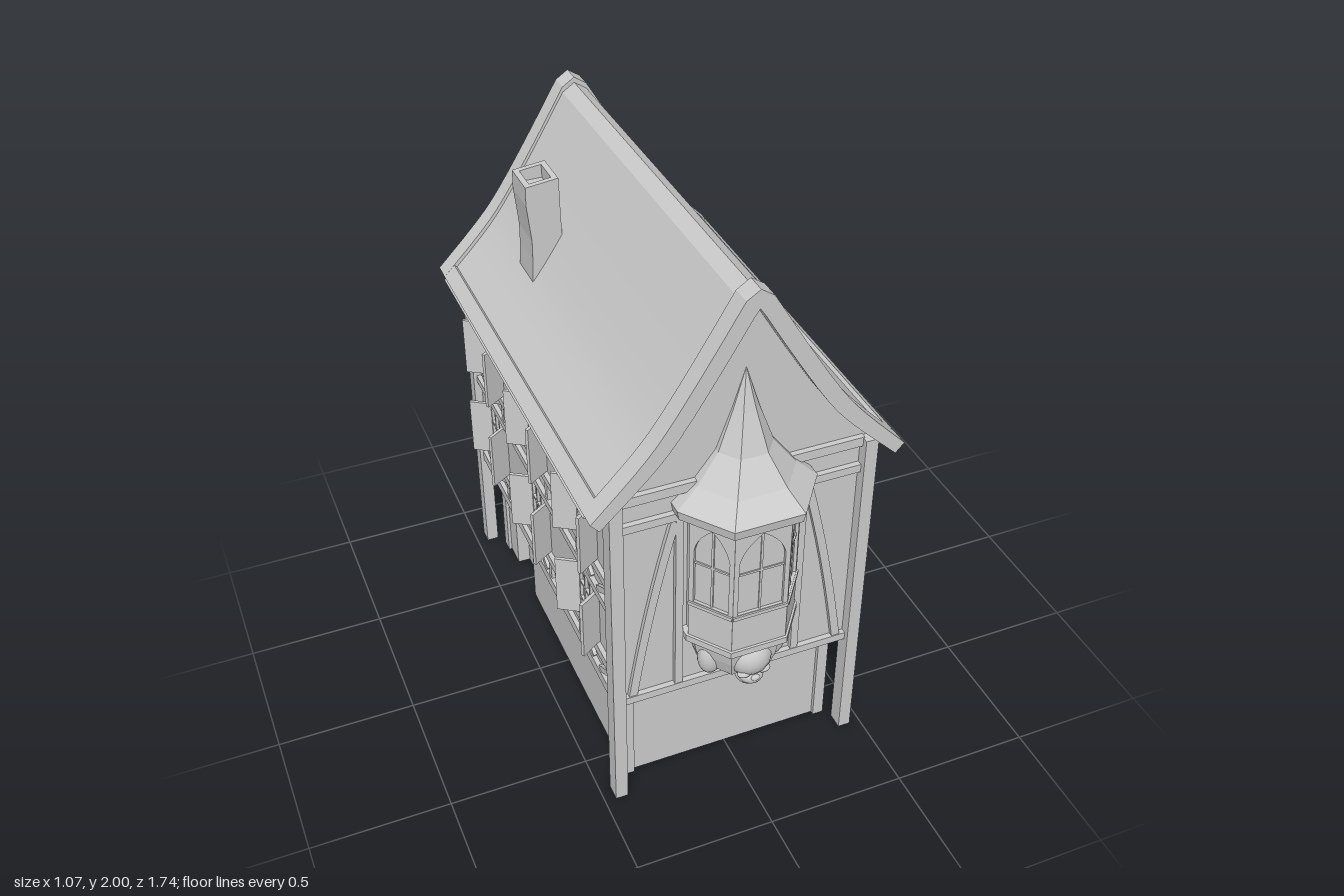
import * as THREE from 'three';
import { toCreasedNormals } from 'three/addons/utils/BufferGeometryUtils.js';

const grey = new THREE.MeshStandardMaterial({ color: 0xcccccc, side: THREE.DoubleSide });
const flat = new THREE.MeshStandardMaterial({ color: 0xcccccc, side: THREE.DoubleSide, flatShading: true });

function add(parent, name, geo, x = 0, y = 0, z = 0, mat = grey) {
  const m = new THREE.Mesh(geo, mat);
  m.name = name;
  m.position.set(x, y, z);
  parent.add(m);
  return m;
}
// box given by its limits on each axis
function block(parent, name, x0, x1, y0, y1, z0, z1) {
  const geo = new THREE.BoxGeometry(Math.abs(x1 - x0), y1 - y0, Math.abs(z1 - z0));
  return add(parent, name, geo, (x0 + x1) / 2, (y0 + y1) / 2, (z0 + z1) / 2);
}
const shapeOf = pts => new THREE.Shape(pts.map(p => new THREE.Vector2(p[0], p[1])));
const rect = (x0, x1, y0, y1) => shapeOf([[x0, y0], [x1, y0], [x1, y1], [x0, y1]]);
const extrude = (shape, depth, steps = 1) =>
  new THREE.ExtrudeGeometry(shape, { depth, steps, bevelEnabled: false, curveSegments: 8 });
function group(parent, name) {
  const g = new THREE.Group();
  g.name = name;
  parent.add(g);
  return g;
}

// half profiles of the slightly sagging roof, ridge to eave
const curve = pts => new THREE.SplineCurve(pts.map(p => new THREE.Vector2(...p))).getPoints(12).map(p => [p.x, p.y]);
const OUTER = [[0, 2], ...curve([[0.045, 1.97], [0.17, 1.762], [0.29, 1.575], [0.38, 1.462], [0.533, 1.303]])];
const INNER = [[0, 1.935], ...curve([[0.02, 1.905], [0.125, 1.73], [0.245, 1.543], [0.34, 1.428], [0.503, 1.27]])];
const bothSides = half => [...half.slice(1).reverse().map(([x, y]) => [-x, y]), ...half];
function roofStrip(drop, z0, z1) {
  const pts = [...bothSides(OUTER).map(([x, y]) => [x, y - drop]), ...bothSides(INNER).reverse()];
  return toCreasedNormals(extrude(shapeOf(pts), z1 - z0).translate(0, 0, z0), 0.4);
}

function buildRoof(house) {
  const roof = group(house, 'roof');
  add(roof, 'roofPanel', roofStrip(0.02, -0.81, 0.67));
  add(roof, 'frontVerge', roofStrip(0, 0.665, 0.735));
  add(roof, 'backVerge', roofStrip(0, -0.87, -0.8));
  for (const s of [-1, 1])
    add(roof, 'eaveRim', new THREE.BoxGeometry(0.058, 0.045, 1.5), s * 0.497, 1.307, -0.068).rotation.z = -s * 0.797;

  // crooked hollow chimney
  const flue = rect(-0.057, 0.057, -0.07, 0.07);
  flue.holes.push(rect(-0.038, 0.038, -0.05, 0.05));
  const geo = extrude(flue, 0.42, 6).rotateX(-Math.PI / 2);
  const p = geo.attributes.position;
  for (let i = 0; i < p.count; i++) {
    const t = p.getY(i) / 0.42;
    p.setX(i, p.getX(i) * (1 + 0.05 * Math.sin(t * 9)) + 0.006 * Math.sin(t * 5));
    p.setY(i, p.getY(i) + p.getX(i) * 0.12 * t);
  }
  geo.computeVertexNormals();
  const chimney = group(roof, 'chimney');
  add(chimney, 'chimneyStack', geo, -0.28, 1.445, -0.41, flat);
  block(chimney, 'flueFloor', -0.325, -0.24, 1.81, 1.82, -0.465, -0.355);
}

function buildWalls(house) {
  const walls = group(house, 'walls');
  // gables follow the underside of the roof
  const top = bothSides(INNER).filter(([x]) => Math.abs(x) < 0.42).reverse();
  const gable = shapeOf([[-0.43, 0.43], [0.43, 0.43], [0.43, 1.34], ...top, [-0.43, 1.34]]);
  add(walls, 'frontGable', extrude(gable, 0.02), 0, 0, 0.64);
  add(walls, 'backGable', extrude(gable, 0.02), 0, 0, -0.825);
  // overhang between the storeys
  const soffit = rect(-0.43, 0.43, -0.66, 0.825);
  soffit.holes.push(rect(-0.37, 0.37, -0.58, 0.72));
  add(walls, 'soffit', extrude(soffit, 0.01).rotateX(-Math.PI / 2), 0, 0.43, 0);
  block(walls, 'groundFront', -0.38, 0.38, 0, 0.435, 0.585, 0.595);
  block(walls, 'groundBack', -0.38, 0.38, 0, 0.435, -0.745, -0.735);
  for (const s of [-1, 1]) {
    block(walls, 'upperSide', s * 0.41, s * 0.43, 0.43, 1.34, -0.82, 0.65);
    // ground floor side with a recessed door
    const side = shapeOf([[-0.595, 0], [0.4, 0], [0.4, 0.3], [0.61, 0.3], [0.61, 0], [0.74, 0], [0.74, 0.435], [-0.595, 0.435]]);
    add(walls, 'groundSide', extrude(side, 0.01).rotateY(Math.PI / 2), s > 0 ? 0.373 : -0.383);
    const door = group(walls, 'door');
    block(door, 'doorLeaf', s * 0.325, s * 0.335, 0, 0.3, -0.61, -0.4);
    block(door, 'doorHead', s * 0.325, s * 0.38, 0.3, 0.306, -0.616, -0.394);
    for (const z of [-0.613, -0.397])
      block(door, 'doorJamb', s * 0.325, s * 0.38, 0, 0.3, z - 0.003, z + 0.003);
    for (const [z0, z1] of [[0.56, 0.61], [-0.75, -0.7]])
      block(walls, 'groundCorner', s * 0.355, s * 0.395, 0, 0.435, z0, z1);
    for (const [z0, z1] of [[0.64, 0.7], [-0.845, -0.79]])
      block(walls, 'cornerPost', s * 0.415, s * 0.46, 0, 1.315, z0, z1);
  }
}

function buildSide(house, s) {
  const side = group(house, s > 0 ? 'leftFacade' : 'rightFacade');
  const x0 = s * 0.425, x1 = s * 0.443;
  for (const [a, b] of [[0.43, 0.47], [0.54, 0.575], [0.81, 0.84], [0.915, 0.945], [1.18, 1.22]])
    block(side, 'rail', x0, s * 0.447, a, b, -0.79, 0.645);
  // studs and diagonal braces in the two bands
  for (const [a, b] of [[0.47, 0.54], [0.84, 0.915]]) {
    for (const z of [0.335, 0.02, -0.145, -0.47, -0.63])
      block(side, 'stud', x0, x1, a, b, z - 0.013, z + 0.013);
    const braces = [[0.64, 0.52], [0.345, 0.46], [-0.49, -0.61], [-0.78, -0.64]];
    if (a < 0.6) braces.push([-0.14, -0.02]);
    for (const [zTop, zBottom] of braces) {
      const d = zTop - zBottom, h = b - a;
      add(side, 'brace', new THREE.BoxGeometry(0.018, 0.022, Math.hypot(d, h)),
        s * 0.434, (a + b) / 2, (zTop + zBottom) / 2).rotation.x = -Math.atan2(h, d);
    }
  }
  // windows with open shutters
  for (const y of [0.58, 0.95]) for (const z of [0.422, -0.072, -0.555]) {
    const win = group(side, 'window'), w = 0.078, h = 0.23;
    block(win, 'pane', x0, s * 0.433, y, y + h, z - w, z + w);
    for (const k of [-1, -0.33, 0.33, 1])
      block(win, 'glazingBar', x0, x1, y, y + h, z + k * (w - 0.005) - 0.005, z + k * (w - 0.005) + 0.005);
    for (let k = 0; k < 4; k++)
      block(win, 'crossBar', x0, x1, y + k * 0.0733, y + k * 0.0733 + 0.01, z - w, z + w);
    for (const e of [-1, 1])
      add(win, 'shutter', new THREE.BoxGeometry(0.012, h, 0.095),
        s * 0.47, y + h / 2, z + e * (w + 0.022)).rotation.y = s * e * 1.0;
  }
}

function buildFront(house) {
  const front = group(house, 'frontTimbers');
  for (const [a, b] of [[0.43, 0.46], [1.18, 1.21], [1.285, 1.32]])
    block(front, 'rail', -0.42, 0.42, a, b, 0.655, 0.68);
  for (const s of [-1, 1]) {
    block(front, 'stud', s * 0.203, s * 0.23, 0.46, 1.18, 0.655, 0.678);
    const brace = new THREE.Shape();
    brace.moveTo(s * 0.395, 0.46);
    brace.quadraticCurveTo(s * 0.335, 0.85, s * 0.245, 1.18);
    brace.lineTo(s * 0.215, 1.18);
    brace.quadraticCurveTo(s * 0.305, 0.85, s * 0.365, 0.46);
    add(front, 'curvedBrace', extrude(brace, 0.018), 0, 0, 0.658);
  }
}

// three-sided bay section, swept through [height, scale] levels
const BAY = [[-0.195, 0], [-0.195, 0.04], [-0.097, 0.17], [0.097, 0.17], [0.195, 0.04], [0.195, 0]];
function bayLoft(levels) {
  const pos = [], idx = [], n = BAY.length;
  for (const [y, k] of levels) for (const [x, z] of BAY) pos.push(x * k, y, z * k);
  for (let i = 0; i < levels.length - 1; i++) for (let j = 0; j < n - 1; j++) {
    const a = i * n + j;
    idx.push(a, a + 1, a + n + 1, a, a + n + 1, a + n);
  }
  const g = new THREE.BufferGeometry();
  g.setAttribute('position', new THREE.Float32BufferAttribute(pos, 3));
  g.setIndex(idx);
  return toCreasedNormals(g, 0.01);
}

function buildBay(house) {
  const bay = group(house, 'bayWindow');
  bay.position.z = 0.66;
  add(bay, 'bayCore', bayLoft([[0.67, 0.94], [1.21, 0.94]]));
  add(bay, 'baySpire', bayLoft([[1.19, 0.95], [1.21, 1.2], [1.245, 1.235], [1.31, 0.87], [1.41, 0.48], [1.55, 0.22], [1.69, 0]]));
  add(bay, 'bayCorbel', bayLoft([[0.46, 0.1], [0.49, 0.4], [0.54, 0.72], [0.6, 0.82], [0.66, 0.88], [0.675, 1.04], [0.7, 1.04], [0.705, 0.94]]));
  // lancet lights on each facet
  for (const [x, z, turn, w] of [[-0.146, 0.105, -0.925, 0.081], [0, 0.17, 0, 0.097], [0.146, 0.105, 0.925, 0.081]]) {
    const facet = group(bay, 'bayFacet');
    facet.position.set(x, 0, z);
    facet.rotation.y = turn;
    const frame = rect(-w, w, 0.7, 1.2), light = new THREE.Path(), v = w - 0.017;
    light.moveTo(-v, 0.855);
    light.lineTo(v, 0.855);
    light.lineTo(v, 1.07);
    light.quadraticCurveTo(v * 0.85, 1.13, 0, 1.175);
    light.quadraticCurveTo(-v * 0.85, 1.13, -v, 1.07);
    frame.holes.push(light);
    add(facet, 'lancetFrame', extrude(frame, 0.018), 0, 0, -0.018);
    block(facet, 'mullion', -0.004, 0.004, 0.855, 1.17, -0.018, -0.006);
    block(facet, 'transom', -v, v, 1.015, 1.023, -0.018, -0.006);
    block(facet, 'sill', -w, w, 0.838, 0.852, -0.01, 0.006);
  }
  // carved animal head under the bay
  const carving = group(bay, 'carvedHead');
  const lump = (name, x, y, z, rx, ry, rz) =>
    add(carving, name, new THREE.SphereGeometry(1, 16, 12).scale(rx, ry, rz), x, y, z);
  lump('skull', 0, 0.6, 0.105, 0.078, 0.078, 0.07);
  lump('muzzle', 0, 0.525, 0.12, 0.045, 0.034, 0.045);
  lump('jaw', 0, 0.485, 0.08, 0.036, 0.025, 0.05);
  lump('nose', 0, 0.535, 0.16, 0.016, 0.012, 0.01);
  for (const s of [-1, 1]) {
    lump('brow', s * 0.035, 0.555, 0.145, 0.025, 0.014, 0.018);
    lump('ear', s * 0.075, 0.57, 0.1, 0.016, 0.028, 0.022);
    lump('scroll', s * 0.115, 0.58, 0.045, 0.045, 0.075, 0.04);
  }
}

export function createModel() {
  const house = new THREE.Group();
  house.name = 'timberedHouse';
  buildRoof(house);
  buildWalls(house);
  buildSide(house, 1);
  buildSide(house, -1);
  buildFront(house);
  buildBay(house);
  return house;
}
